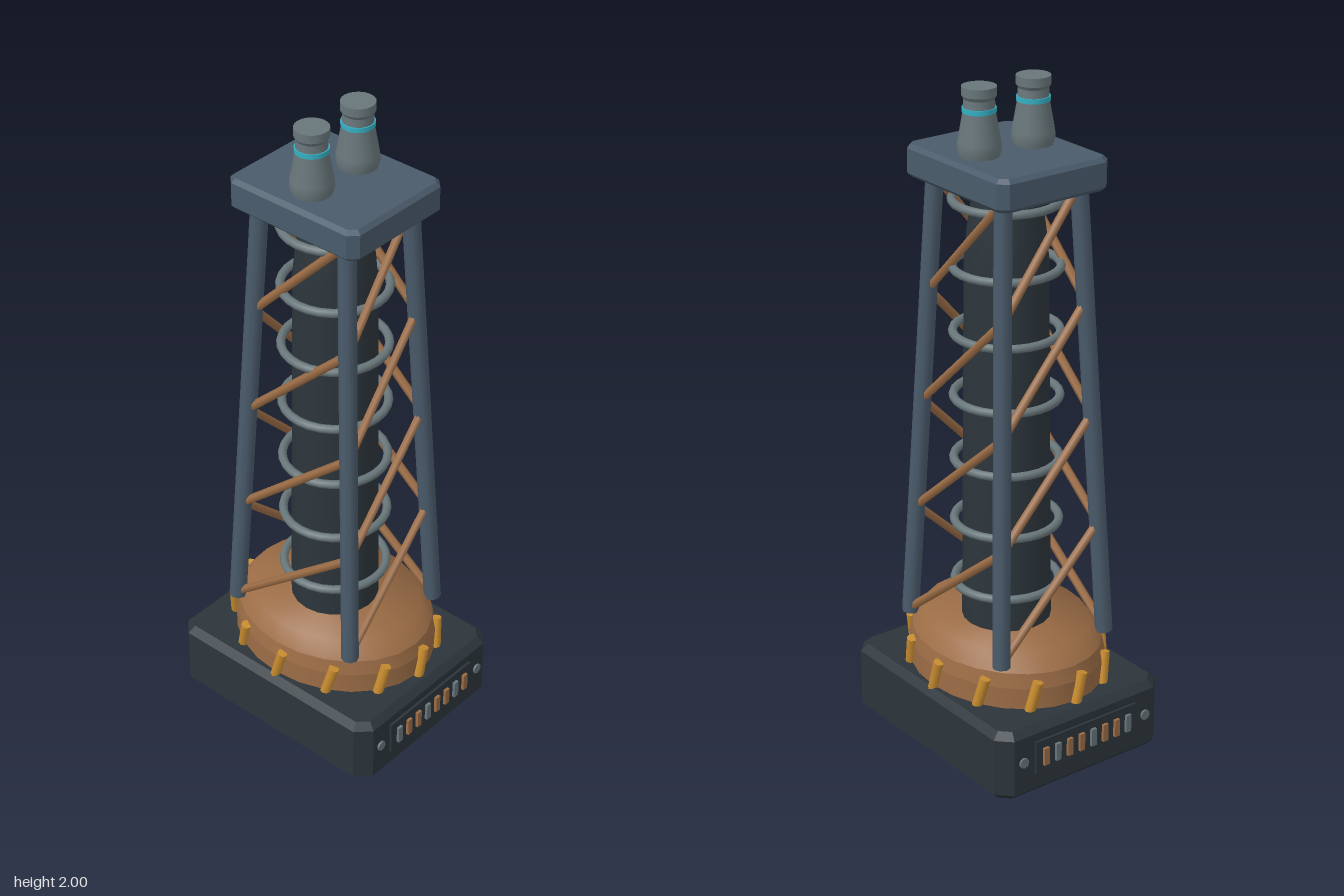
import * as THREE from 'three';
import { toCreasedNormals } from 'three/addons/utils/BufferGeometryUtils.js';

const paint = (name, color) => {
  const m = new THREE.MeshStandardMaterial({ color });
  m.name = name;
  return m;
};

export function createModel() {
  const model = new THREE.Group();
  const dark = paint('dark iron', 0x2c353b);
  const slate = paint('slate steel', 0x4a5b6b);
  const copper = paint('copper', 0x9c6d46);
  const amber = paint('amber', 0xc98d30);
  const grey = paint('grey ceramic', 0x68767a);
  const cyan = paint('cyan glow', 0x35b0c4);

  const add = (name, geometry, material, parent = model) => {
    const mesh = new THREE.Mesh(geometry, material);
    mesh.name = name;
    parent.add(mesh);
    return mesh;
  };
  const group = (name) => {
    const g = new THREE.Group();
    g.name = name;
    model.add(g);
    return g;
  };

  // Box with cut corners in plan and bevelled top and bottom edges
  const chamferBox = (w, h, d, cut, bevel) => {
    const x = w / 2 - bevel, z = d / 2 - bevel, c = cut - bevel * 0.59;
    const shape = new THREE.Shape([
      [x, -z + c], [x, z - c], [x - c, z], [-x + c, z],
      [-x, z - c], [-x, -z + c], [-x + c, -z], [x - c, -z],
    ].map(p => new THREE.Vector2(...p)));
    return new THREE.ExtrudeGeometry(shape, {
      depth: h - 2 * bevel, bevelEnabled: true, bevelSize: bevel, bevelThickness: bevel, bevelSegments: 1,
    }).translate(0, 0, bevel).rotateX(-Math.PI / 2);
  };
  const lathe = (points, sides, crease = 0.5) => toCreasedNormals(
    new THREE.LatheGeometry(points.map(p => new THREE.Vector2(...p)), sides), crease);

  // Round bar between two points
  const rod = (name, a, b, radius, material, parent, sides = 8) => {
    const dir = b.clone().sub(a);
    const mesh = add(name, new THREE.CylinderGeometry(radius, radius, dir.length(), sides), material, parent);
    mesh.position.copy(a).lerp(b, 0.5);
    mesh.quaternion.setFromUnitVectors(new THREE.Vector3(0, 1, 0), dir.normalize());
    return mesh;
  };

  // Base block
  add('base', chamferBox(0.6, 0.22, 0.75, 0.042, 0.021), dark);

  // Vent panels with bars and bolts, front and back
  for (const s of [1, -1]) {
    const panel = group(s > 0 ? 'frontPanel' : 'backPanel');
    add('panelPlate', new THREE.BoxGeometry(0.37, 0.105, 0.012), dark, panel).position.set(0, 0.122, s * 0.377);
    for (let i = 0; i < 8; i++) {
      add('panelBar', new THREE.BoxGeometry(0.018, 0.055, 0.012), i % 3 ? copper : grey, panel)
        .position.set(-0.152 + i * 0.0435, 0.122, s * 0.386);
    }
    for (const x of [-0.225, 0.225]) {
      const bolt = add('bolt', new THREE.CylinderGeometry(0.016, 0.016, 0.012, 10), grey, panel);
      bolt.rotation.x = Math.PI / 2;
      bolt.position.set(x, 0.12, s * 0.375);
    }
  }

  // Oval copper collar
  add('collar', lathe([[1, 0.2], [1, 0.285], [0.97, 0.33], [0.85, 0.38], [0, 0.38]], 24)
    .scale(0.27, 1, 0.325), copper);

  // Leaning clamps round the collar
  const clamps = group('clamps');
  const onOval = (a, y) => new THREE.Vector3(0.271 * Math.sin(a), y, 0.329 * Math.cos(a));
  for (let i = 0; i < 12; i++) {
    const a = i * Math.PI / 6;
    rod('clamp', onOval(a, 0.21), onOval(a + 0.09, 0.31), 0.016, amber, clamps);
  }

  // Central column and its rings
  add('column', lathe([[0.132, 0.37], [0.12, 1.48], [0.111, 1.58], [0.09, 1.72]], 20), dark);
  const rings = group('rings');
  for (let i = 0; i < 7; i++) {
    add('ring', new THREE.TorusGeometry(0.153, 0.013, 8, 28).rotateX(Math.PI / 2), grey, rings)
      .position.y = 0.495 + i * 0.195;
  }

  // Tapering legs and spiral bracing on the four sides
  const corners = [[-1, 1], [1, 1], [1, -1], [-1, -1]];
  const onLeg = (k, y) => {
    const t = (y - 0.35) / 1.37;
    const [sx, sz] = corners[k % 4];
    return new THREE.Vector3(sx * (0.19 - 0.059 * t), y, sz * (0.224 - 0.068 * t));
  };
  const legs = group('legs'), braces = group('braces');
  for (let k = 0; k < 4; k++) {
    rod('leg', onLeg(k, 0.35), onLeg(k, 1.73), 0.026, slate, legs);
    for (let i = 0; i < 4; i++) {
      const y = 0.36 + i * 0.34;
      rod('brace', onLeg(k, y), onLeg(k + 1, y + 0.34), 0.013, copper, braces, 6);
    }
  }

  // Top plate
  add('topPlate', chamferBox(0.38, 0.095, 0.46, 0.026, 0.012), slate).position.y = 1.71;

  // Pair of insulators, each with a glowing band
  for (const x of [-0.093, 0.093]) {
    const insulator = group(x > 0 ? 'leftInsulator' : 'rightInsulator');
    insulator.position.set(x, 1.8, 0);
    add('insulatorBody', lathe([
      [0.055, 0], [0.062, 0.025], [0.06, 0.045], [0.045, 0.13], [0.043, 0.165],
      [0.049, 0.175], [0.049, 0.2], [0, 0.2],
    ], 20), grey, insulator);
    add('insulatorBand', new THREE.CylinderGeometry(0.048, 0.048, 0.014, 20), cyan, insulator).position.y = 0.135;
  }

  return model;
}
